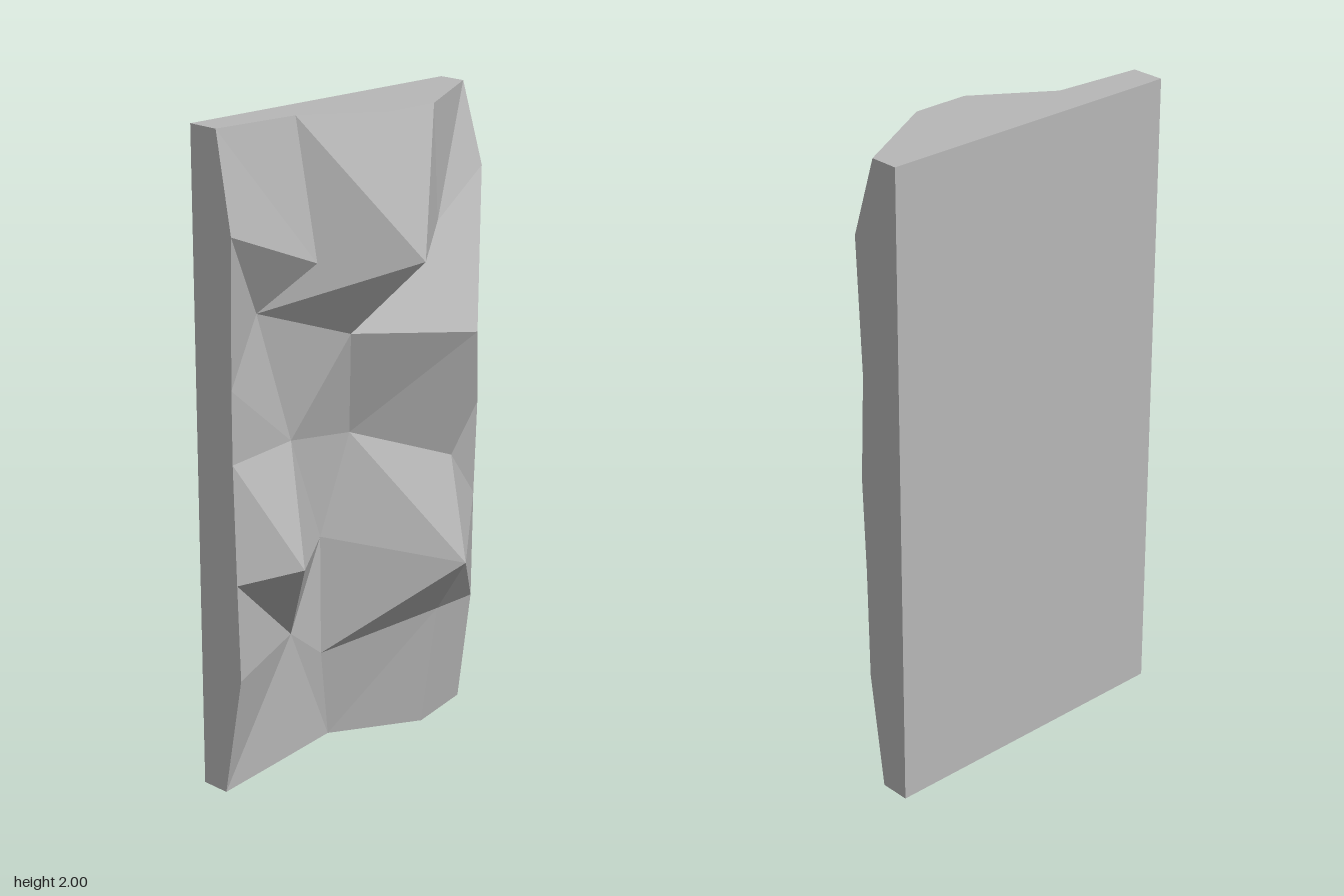
import * as THREE from 'three';

const BACK = -0.21;

// Relief control points [x, y, z], top row to bottom row, left to right
const ROWS = [
  [[-0.5, 2, -0.105], [-0.22, 2, -0.085], [0.005, 2, 0.065], [0.185, 2, 0.062], [0.5, 2, -0.12]],
  [[-0.5, 1.705, -0.05], [-0.195, 1.58, -0.027], [0.007, 1.59, 0.205], [0.235, 1.64, 0.032], [0.5, 1.755, -0.04]],
  [[-0.5, 1.26, -0.06], [-0.315, 1.43, -0.155], [-0.05, 1.34, -0.04], [0.253, 1.33, 0.18], [0.5, 1.34, -0.06]],
  [[-0.5, 1.04, -0.06], [-0.19, 1.02, -0.15], [0.03, 1.0, -0.13], [0.265, 0.92, 0.068], [0.5, 1.01, -0.045]],
  [[-0.5, 0.675, -0.05], [-0.32, 0.7, 0.043], [-0.06, 0.68, -0.165], [0.23, 0.607, 0.166], [0.5, 0.71, -0.057]],
  [[-0.5, 0.38, -0.04], [-0.185, 0.4, -0.165], [-0.06, 0.3, -0.165], [0.278, 0.4, 0.003], [0.5, 0.363, -0.063]],
  [[-0.5, 0, -0.115], [-0.26, 0, -0.155], [0, 0, -0.2], [0.275, 0, -0.06], [0.5, 0, -0.115]],
];

// Crease direction of each cell: \ from top left, / from top right
const CREASES = ['\\\\//', '\\///', '\\//\\', '\\\\\\\\', '\\//\\', '/\\/\\'];

function facetMesh(name, points, material) {
  const geometry = new THREE.BufferGeometry();
  geometry.setAttribute('position', new THREE.Float32BufferAttribute(points.flat(), 3));
  geometry.computeVertexNormals();
  const mesh = new THREE.Mesh(geometry, material);
  mesh.name = name;
  return mesh;
}

export function createModel() {
  const group = new THREE.Group();
  group.name = 'rockPanel';
  const stone = new THREE.MeshStandardMaterial({ color: 0xb8b8b8, flatShading: true });
  stone.name = 'grey stone';

  // Faceted rock relief: two triangles per cell
  const relief = [];
  CREASES.forEach((line, r) => [...line].forEach((crease, c) => {
    const tl = ROWS[r][c], tr = ROWS[r][c + 1];
    const bl = ROWS[r + 1][c], br = ROWS[r + 1][c + 1];
    if (crease === '/') relief.push(tl, bl, tr, tr, bl, br);
    else relief.push(tl, bl, br, tl, br, tr);
  }));
  group.add(facetMesh('rockFace', relief, stone));

  // Flat rim walls from the relief outline to the back plane
  const outline = [
    ...ROWS[0],
    ...ROWS.slice(1).map((row) => row[4]),
    ...ROWS[6].slice(0, 4).reverse(),
    ...ROWS.slice(1, 6).map((row) => row[0]).reverse(),
  ];
  const toBack = ([x, y]) => [x, y, BACK];
  const rim = [];
  outline.forEach((p, i) => {
    const q = outline[(i + 1) % outline.length];
    rim.push(p, q, toBack(q), p, toBack(q), toBack(p));
  });
  group.add(facetMesh('rimWalls', rim, stone));

  // Flat back
  const back = new THREE.Mesh(new THREE.PlaneGeometry(1, 2), stone);
  back.name = 'backPlate';
  back.rotation.y = Math.PI;
  back.position.set(0, 1, BACK);
  group.add(back);

  return group;
}
